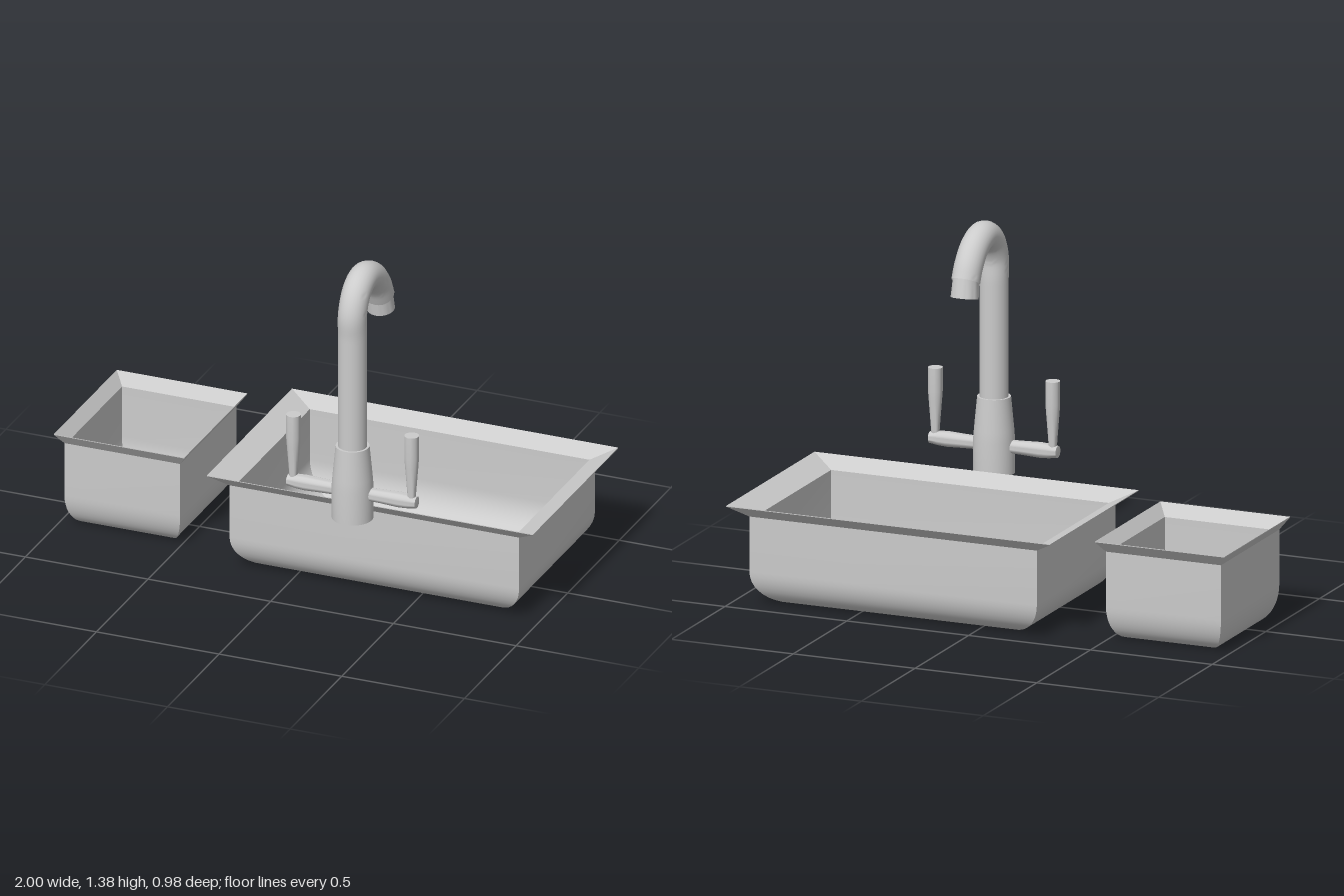
import * as THREE from 'three';
import { toCreasedNormals } from 'three/addons/utils/BufferGeometryUtils.js';

const material = new THREE.MeshStandardMaterial({ color: 0xcccccc, side: THREE.DoubleSide });

function mesh(name, geometry, crease = 0.6) {
  const m = new THREE.Mesh(toCreasedNormals(geometry, crease), material);
  m.name = name;
  return m;
}

function lathe(name, points, segments = 32) {
  return mesh(name, new THREE.LatheGeometry(points.map(([r, y]) => new THREE.Vector2(r, y)), segments));
}

// Rectangular ring, counter-clockwise from above; the inset is given per axis
function ring(b, y, ix = 0, iz = 0) {
  const x0 = b.x0 + ix, x1 = b.x1 - ix, z0 = b.z0 + iz, z1 = b.z1 - iz;
  return [[x0, y, z1], [x1, y, z1], [x1, y, z0], [x0, y, z0]];
}

// Basin shell: outside from the floor up to the flared rim, then down the inside
function basinGeometry() {
  const rim = { x0: -0.33, x1: 1, z0: -0.49, z1: 0.335 };
  const wall = { x0: -0.255, x1: 0.925, z0: -0.443, z1: 0.293 };
  const inner = { x0: -0.235, x1: 0.905, z0: -0.437, z1: 0.274 };
  const steps = 10;
  const bowl = (b, floor, rx, ry, rz) => {
    const list = [];
    for (let i = 0; i <= steps; i++) {
      const a = (i / steps) * Math.PI / 2;
      const inset = 1 - Math.sin(a);
      list.push(ring(b, floor + ry * (1 - Math.cos(a)), rx * inset, rz * inset));
    }
    list.push(ring(b, 0.345));
    return list;
  };
  const rings = [
    ...bowl(wall, 0, 0.15, 0.13, 0.1),
    ring(rim, 0.387),
    ring(rim, 0.39),
    ...bowl(inner, 0.012, 0.14, 0.125, 0.095).reverse(),
  ];
  const pos = [];
  const quad = (a, b, c, d) => pos.push(...a, ...b, ...c, ...a, ...c, ...d);
  for (let i = 0; i < rings.length - 1; i++) {
    for (let k = 0; k < 4; k++) {
      const n = (k + 1) % 4;
      quad(rings[i][k], rings[i][n], rings[i + 1][n], rings[i + 1][k]);
    }
  }
  quad(...[...rings[0]].reverse());
  quad(...rings[rings.length - 1]);
  const g = new THREE.BufferGeometry();
  g.setAttribute('position', new THREE.Float32BufferAttribute(pos, 3));
  return g;
}

function createFaucet() {
  const faucet = new THREE.Group();
  faucet.name = 'faucet';
  faucet.position.set(0.298, 0, 0.415);

  // Tapered body
  faucet.add(lathe('faucetBody', [
    [0, 0.37], [0.079, 0.37], [0.079, 0.5], [0.076, 0.54], [0.064, 0.667], [0, 0.667],
  ]));

  // Gooseneck spout
  const path = new THREE.CatmullRomCurve3([
    [0, 0.64], [0, 0.9], [0, 1.12], [0, 1.215], [-0.038, 1.288],
    [-0.103, 1.32], [-0.178, 1.296], [-0.237, 1.235], [-0.265, 1.18],
  ].map(([z, y]) => new THREE.Vector3(0, y, z)));
  faucet.add(mesh('spout', new THREE.TubeGeometry(path, 64, 0.055, 28)));

  // Nozzle with a recessed outlet
  const nozzle = lathe('nozzle', [
    [0, 0.035], [0.046, 0.035], [0.05, 0.03], [0.053, -0.05], [0.045, -0.05], [0.043, -0.025], [0, -0.025],
  ].reverse());
  nozzle.position.set(0, 1.168, -0.265);
  nozzle.rotation.x = 0.2;
  faucet.add(nozzle);

  // Mirrored taps: a side arm with an upright lever
  for (const side of [1, -1]) {
    const tap = new THREE.Group();
    tap.name = side > 0 ? 'leftTap' : 'rightTap';
    const arm = lathe('tapArm', [
      [0, 0.05], [0.025, 0.05], [0.027, 0.12], [0.03, 0.19], [0.028, 0.225], [0.023, 0.262], [0, 0.265],
    ], 24);
    arm.rotation.z = -side * Math.PI / 2;
    arm.position.y = 0.477;
    const lever = lathe('tapLever', [
      [0, 0.485], [0.015, 0.485], [0.018, 0.53], [0.025, 0.62], [0.028, 0.66], [0.028, 0.752], [0, 0.752],
    ], 24);
    lever.position.x = side * 0.241;
    tap.add(arm, lever);
    faucet.add(tap);
  }
  return faucet;
}

export function createModel() {
  const model = new THREE.Group();
  model.name = 'sink';

  const geometry = basinGeometry();
  const large = mesh('largeBasin', geometry, 0.5);

  // Small basin: the same shape, narrower and shorter
  const small = mesh('smallBasin', geometry, 0.5);
  small.scale.set(0.4, 1, 0.74);
  small.position.set(-0.868, 0, -0.023);

  model.add(large, small, createFaucet());
  return model;
}
